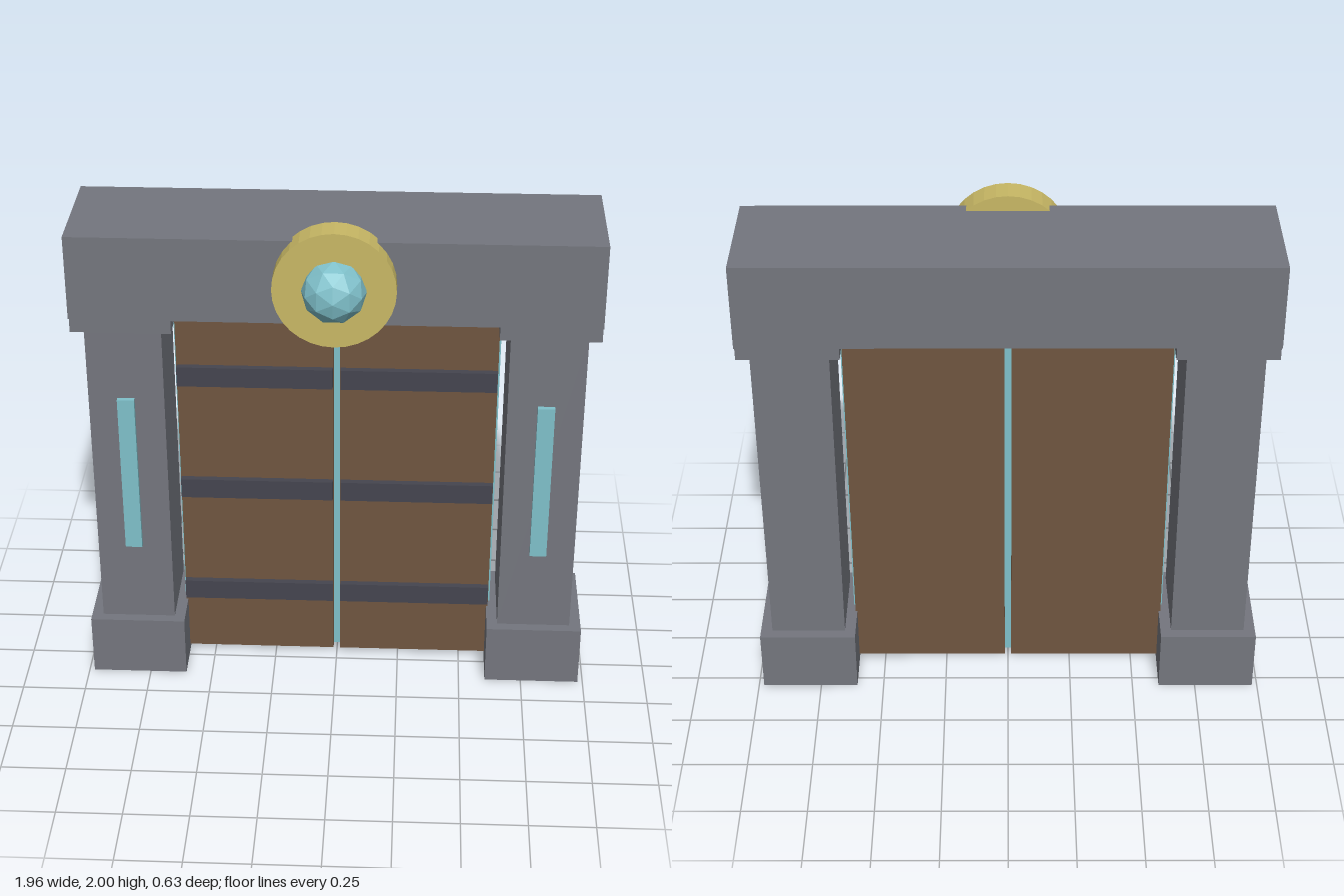
import * as THREE from 'three';

const material = (name, color) => {
  const m = new THREE.MeshStandardMaterial({ color });
  m.name = name;
  return m;
};

export function createModel() {
  const stone = material('stone', 0x74767e);
  const wood = material('wood', 0x6f5540);
  const iron = material('iron', 0x45454f);
  const gold = material('gold', 0xc8b865);
  const crystal = material('crystal', 0x7fc0ca);

  const model = new THREE.Group();
  model.name = 'gateway';

  // Box given by its extents along each axis
  const box = (name, mat, [x0, x1], [y0, y1], [z0, z1], parent = model) => {
    const mesh = new THREE.Mesh(new THREE.BoxGeometry(x1 - x0, y1 - y0, z1 - z0), mat);
    mesh.position.set((x0 + x1) / 2, (y0 + y1) / 2, (z0 + z1) / 2);
    mesh.name = name;
    parent.add(mesh);
    return mesh;
  };

  // Lintel across both pillars
  box('lintel', stone, [-0.98, 0.98], [1.61, 1.94], [-0.317, 0.14]);

  for (const [side, s] of [['left', 1], ['right', -1]]) {
    const span = (a, b) => (s > 0 ? [a, b] : [-b, -a]);

    // Pillar with base, capital and glowing inlay
    const pillar = new THREE.Group();
    pillar.name = side + 'Pillar';
    model.add(pillar);
    box('base', stone, span(0.605, 0.98), [0, 0.25], [-0.293, 0.12], pillar);
    box('shaft', stone, span(0.647, 0.935), [0.25, 1.547], [-0.25, 0.08], pillar);
    box('capital', stone, span(0.605, 0.98), [1.547, 1.61], [-0.293, 0.12], pillar);
    box('glowStrip', crystal, span(0.76, 0.825), [0.59, 1.25], [0.06, 0.1], pillar);

    // Door leaf with three iron bands on the front
    const door = new THREE.Group();
    door.name = side + 'Door';
    model.add(door);
    box('leaf', wood, span(0.013, 0.612), [0.025, 1.568], [-0.13, -0.04], door);
    for (const y of [0.315, 0.795, 1.293]) {
      box('band', iron, span(0.015, 0.61), [y - 0.041, y + 0.041], [-0.045, -0.015], door);
    }
  }

  // Thin glowing sheet showing in the gaps around the doors
  box('glowSheet', crystal, [-0.62, 0.62], [0.023, 1.565], [-0.09, -0.08]);

  // Gold disc and faceted gem at the centre of the lintel
  const disc = new THREE.Mesh(new THREE.CylinderGeometry(0.226, 0.226, 0.103, 32), gold);
  disc.rotation.x = Math.PI / 2;
  disc.position.set(0, 1.774, 0.1515);
  disc.name = 'emblemDisc';
  gold.flatShading = true;
  model.add(disc);

  const gem = new THREE.Mesh(new THREE.IcosahedronGeometry(0.12, 1), crystal);
  gem.position.set(0, 1.774, 0.196);
  gem.name = 'gem';
  crystal.flatShading = true;
  model.add(gem);

  return model;
}
